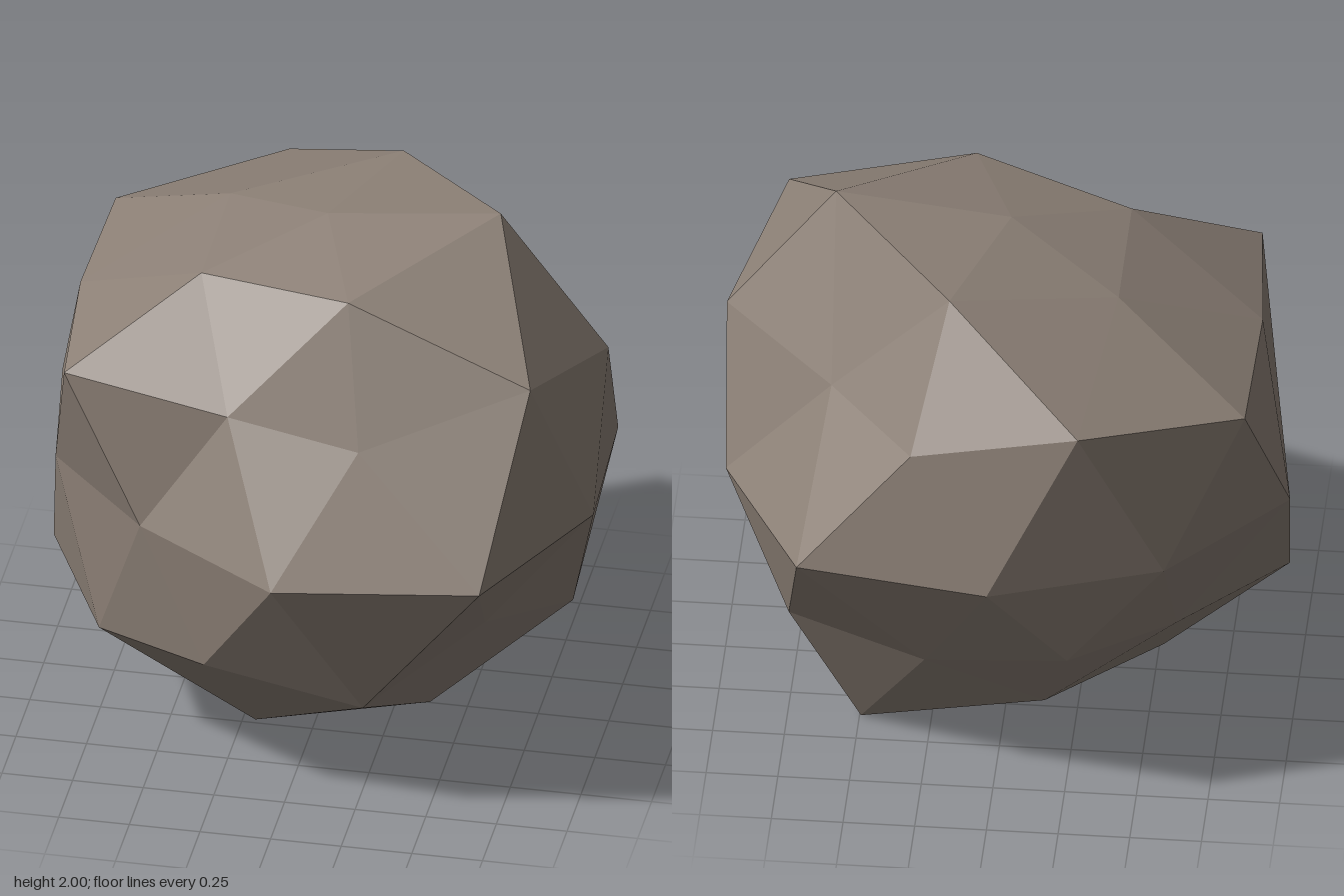
import * as THREE from 'three';
import { ConvexGeometry } from 'three/addons/geometries/ConvexGeometry.js';

// Rings of a once-subdivided icosahedron, from the top pole to the bottom one:
// height on the unit sphere, first angle in degrees, radius of each corner.
const RINGS = [
  [1, 0, [0.92]],
  [0.8507, 0, [1.164, 1.0, 0.93, 0.935, 1.06]],
  [0.5257, 36, [1.2, 0.867, 1.03, 1.18, 0.86]],
  [0.4472, 0, [1.11, 0.885, 1.14, 1.197, 1.015]],
  [0, 18, [1.05, 1.215, 1.114, 0.905, 0.957, 1.05, 1.02, 1.049, 1.145, 1.02]],
  [-0.4472, 36, [0.886, 1.02, 1.085, 0.94, 1.012]],
  [-0.5257, 0, [1.02, 1.073, 1.04, 0.89, 0.92]],
  [-0.8507, 36, [0.98, 1.012, 1.01, 0.95, 1.164]],
  [-1, 0, [0.861]],
];

export function createModel() {
  const stone = new THREE.MeshStandardMaterial({ color: 0x8b7f75, flatShading: true });
  stone.name = 'stone';

  // Unit directions with their radii
  const corners = [];
  for (const [y, start, radii] of RINGS) {
    const h = Math.sqrt(1 - y * y);
    radii.forEach((radius, i) => {
      const a = THREE.MathUtils.degToRad(start + (i * 360) / radii.length);
      corners.push({ dir: new THREE.Vector3(h * Math.cos(a), y, h * Math.sin(a)), radius });
    });
  }

  // Faceted ball, each corner then pushed in or out to its own radius
  const geometry = new ConvexGeometry(corners.map((c) => c.dir));
  const pos = geometry.attributes.position;
  const p = new THREE.Vector3();
  for (let i = 0; i < pos.count; i++) {
    p.fromBufferAttribute(pos, i);
    const corner = corners.find((c) => c.dir.distanceTo(p) < 0.01);
    p.multiplyScalar(corner.radius);
    pos.setXYZ(i, p.x, 1 + p.y * 1.01, p.z * 0.925 - 0.03);
  }
  geometry.computeVertexNormals();

  const boulder = new THREE.Mesh(geometry, stone);
  boulder.name = 'boulder';
  const group = new THREE.Group();
  group.name = 'rock';
  group.add(boulder);
  return group;
}
